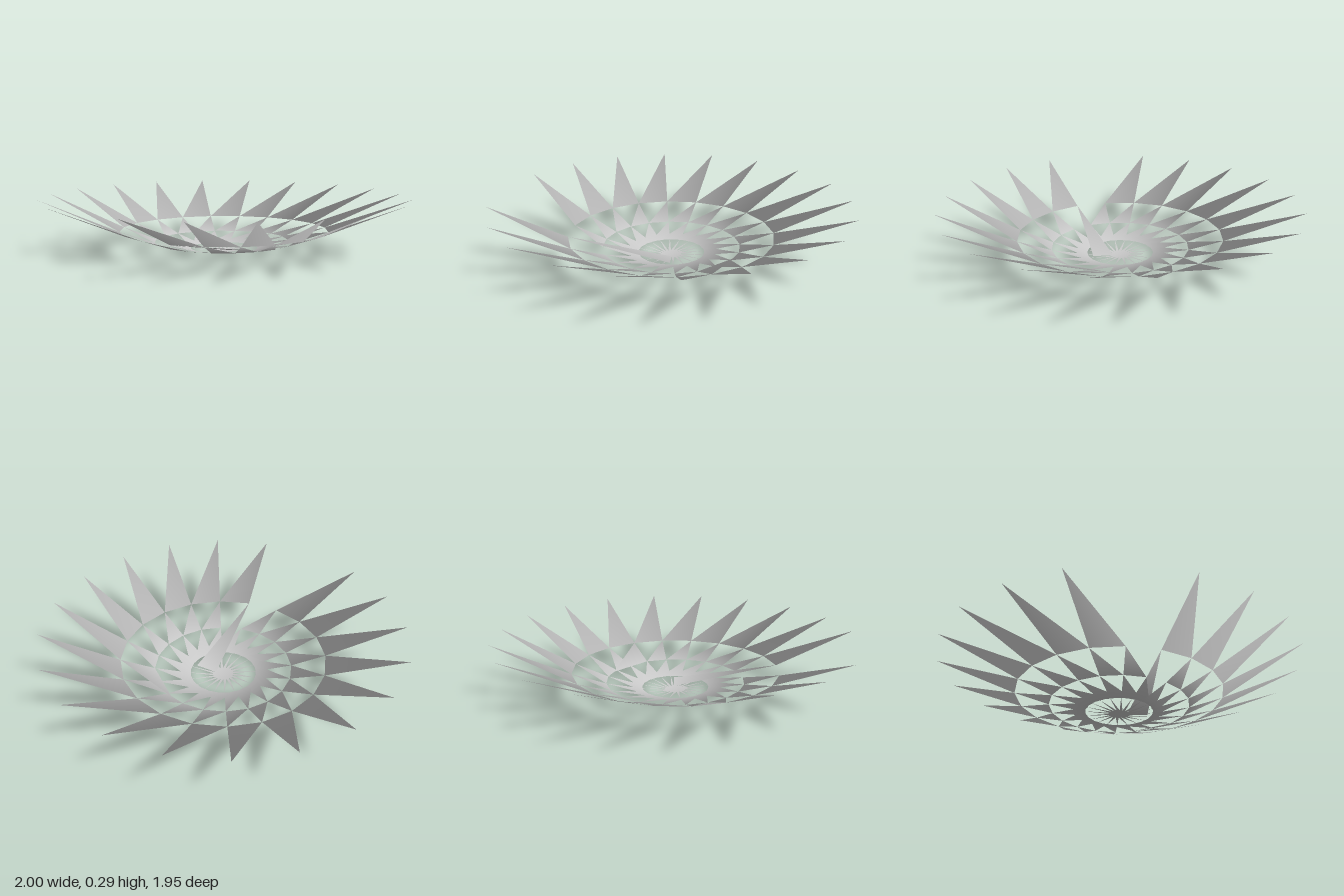
import * as THREE from 'three';

const COUNT = 20;                 // blades per ring
const AXIS_Z = 0.024;             // bowl axis, slightly forward
// bowl profile, rim to centre: [radius, height]
const RINGS = [[1, 0.295], [0.567, 0.113], [0.38, 0.05], [0.19, 0.014], [0.05, 0.002]];

// point number k on a ring, counted anticlockwise from +x seen from above
function point(ring, k) {
  const [r, y] = RINGS[ring];
  const a = (k / COUNT) * Math.PI * 2;
  return [r * Math.cos(a), y, AXIS_Z - r * Math.sin(a)];
}

// smooth normal: upright at the hub, turning inward until almost level at the rim
function bowlNormal(x, z) {
  const r = Math.hypot(x, z) || 1;
  const tilt = Math.min(r / 0.6, 1) * 1.5;
  return [-Math.sin(tilt) * x / r, Math.cos(tilt), -Math.sin(tilt) * z / r];
}

function bladeMesh(name, triangles, material) {
  const pos = triangles.flat(2);
  const normals = triangles.flat().flatMap(([x, , z]) => bowlNormal(x, z - AXIS_Z));
  const geo = new THREE.BufferGeometry();
  geo.setAttribute('position', new THREE.Float32BufferAttribute(pos, 3));
  geo.setAttribute('normal', new THREE.Float32BufferAttribute(normals, 3));
  const mesh = new THREE.Mesh(geo, material);
  mesh.name = name;
  return mesh;
}

export function createModel() {
  const group = new THREE.Group();
  group.name = 'bladedDish';
  const grey = new THREE.MeshStandardMaterial({ color: 0xc8c8c8, side: THREE.DoubleSide });
  grey.name = 'lightGrey';

  // rings of blades: each points outward, its base spans some steps of the next ring in
  const rings = [
    { name: 'rimBlades', span: 1, skip: [15] },
    { name: 'outerBlades', span: 1, skip: [2, 16] },
    { name: 'middleBlades', span: 2, skip: [] },
    { name: 'innerBlades', span: 1, skip: [] },
  ];
  rings.forEach(({ name, span, skip }, ring) => {
    const triangles = [];
    for (let k = 0; k < COUNT; k++) {
      if (skip.includes(k)) continue;
      triangles.push([point(ring, k), point(ring + 1, k + span), point(ring + 1, k)]);
    }
    group.add(bladeMesh(name, triangles, grey));
  });

  // two irregular stretched blades in the outer ring
  group.add(bladeMesh('wideBlade', [[point(1, 2), [0.085, 0.05, -0.345], point(2, 2)]], grey));
  group.add(bladeMesh('longBlade', [[point(1, 16), [0.04, 0.003, 0.01], [0.155, 0.014, -0.01]]], grey));

  // small hub closing the centre
  const hub = [];
  for (let k = 0; k < COUNT; k++) hub.push([[0, 0, AXIS_Z], point(4, k), point(4, k + 1)]);
  group.add(bladeMesh('hub', hub, grey));

  return group;
}
